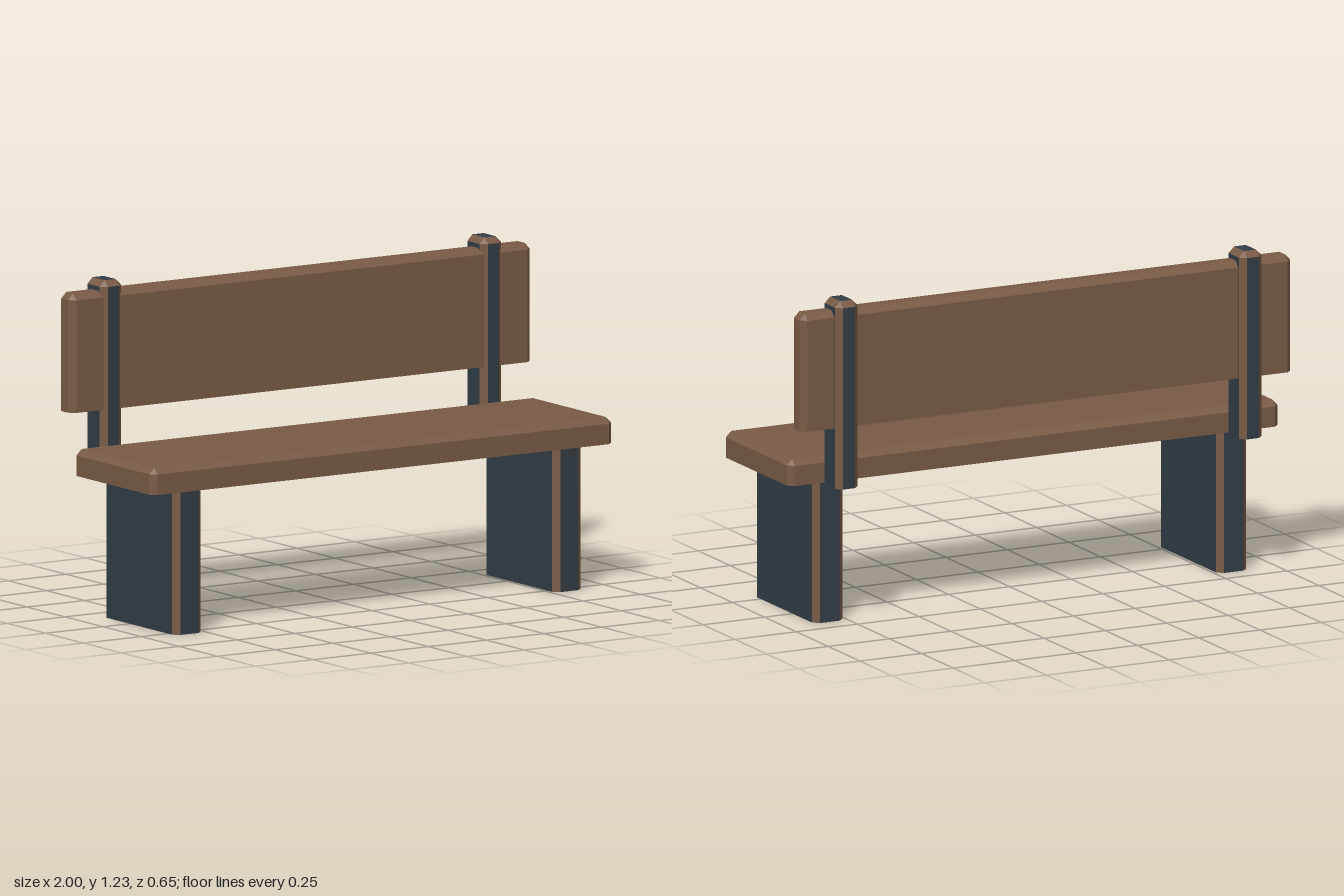
import * as THREE from 'three';

const wood = new THREE.MeshStandardMaterial({ color: 0x785a45, side: THREE.DoubleSide, flatShading: true });
wood.name = 'brown wood';
const iron = new THREE.MeshStandardMaterial({ color: 0x323d45, side: THREE.DoubleSide, flatShading: true });
iron.name = 'dark slate';

const CHAMFER = 0.022;

// Bottomless box with chamfered upright edges and, if capped, a chamfered top.
// Group 0 holds the flat faces, group 1 the chamfers.
function chamferedShell(w, h, d, capped) {
  const c = CHAMFER, x = w / 2, z = d / 2;
  const outline = [
    [x - c, z], [x, z - c], [x, c - z], [x - c, -z],
    [c - x, -z], [-x, c - z], [-x, z - c], [c - x, z],
  ];
  const ring = (y) => outline.map(([px, pz]) => [px, y, pz]);
  const lower = ring(0);
  const upper = ring(capped ? h - c : h);
  const flats = [], bevels = [];
  const tri = (out, p, q, r) => out.push(...p, ...q, ...r);
  const quad = (out, p, q, r, s) => { tri(out, p, q, r); tri(out, p, r, s); };

  // Upright walls: chamfers alternate with flat sides
  for (let i = 0; i < 8; i++) {
    const j = (i + 1) % 8;
    quad(i % 2 ? flats : bevels, lower[i], lower[j], upper[j], upper[i]);
  }

  // Sloped rim, corner triangles and top face
  if (capped) {
    const top = [[1, 1], [1, -1], [-1, -1], [-1, 1]].map(([sx, sz]) => [sx * (x - c), h, sz * (z - c)]);
    for (let k = 0; k < 4; k++) {
      const a = upper[2 * k], b = upper[2 * k + 1], next = upper[(2 * k + 2) % 8];
      tri(bevels, a, b, top[k]);
      quad(bevels, b, next, top[(k + 1) % 4], top[k]);
    }
    quad(flats, ...top);
  }

  const geometry = new THREE.BufferGeometry();
  geometry.setAttribute('position', new THREE.Float32BufferAttribute([...flats, ...bevels], 3));
  geometry.addGroup(0, flats.length / 3, 0);
  geometry.addGroup(flats.length / 3, bevels.length / 3, 1);
  geometry.computeVertexNormals();
  return geometry;
}

// Places a shell by its extents: [min, max] along y and z, centred on cx
function part(name, cx, w, [y0, y1], [z0, z1], faceMaterial, capped = true) {
  const mesh = new THREE.Mesh(chamferedShell(w, y1 - y0, z1 - z0, capped), [faceMaterial, wood]);
  mesh.name = name;
  mesh.position.set(cx, y0, (z0 + z1) / 2);
  return mesh;
}

export function createModel() {
  const bench = new THREE.Group();
  bench.name = 'bench';

  // Wooden planks
  bench.add(part('seat', 0, 2, [0.528, 0.625], [-0.197, 0.325], wood));
  bench.add(part('backrest', 0, 2, [0.752, 1.187], [-0.297, -0.209], wood));

  // Dark supports with wooden chamfers, mirrored left and right
  for (const [side, s] of [['left', 1], ['right', -1]]) {
    bench.add(part(side + 'Leg', s * 0.823, 0.124, [0, 0.53], [-0.173, 0.3], iron, false));
    bench.add(part(side + 'BackPost', s * 0.823, 0.092, [0.528, 1.225], [-0.323, -0.199], iron));
  }
  return bench;
}
